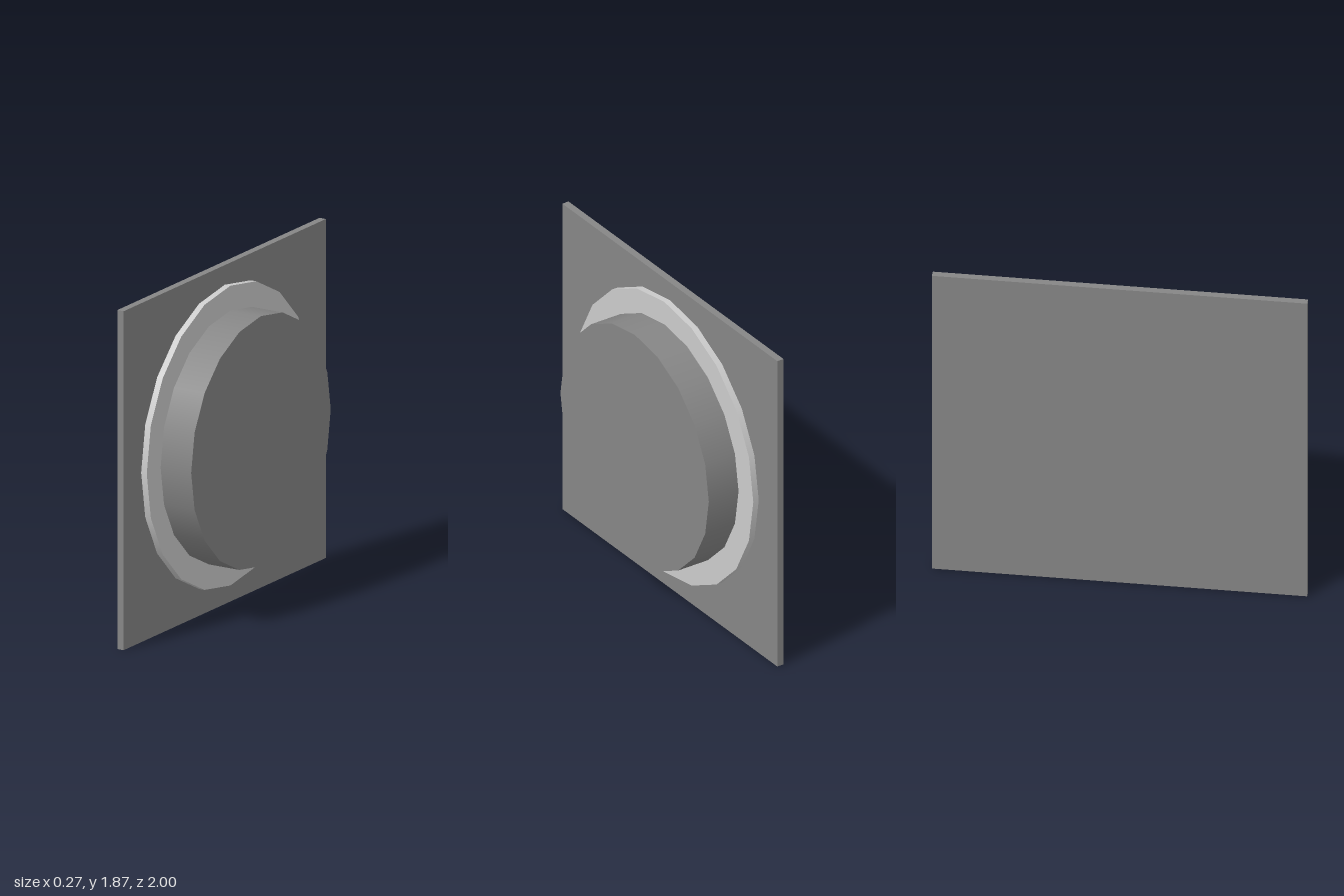
import * as THREE from 'three';

const CENTRE_Y = 0.935;

export function createModel() {
  const group = new THREE.Group();
  const dark = new THREE.MeshStandardMaterial({ color: 0x868686 });
  const light = new THREE.MeshStandardMaterial({ color: 0xcccccc });

  const add = (name, geometry, material, x) => {
    const mesh = new THREE.Mesh(geometry, material);
    mesh.name = name;
    mesh.position.set(x, CENTRE_Y, 0);
    group.add(mesh);
  };

  // 20-sided disc with its axis along x, spanning x0 to x1
  const addDisc = (name, radius, x0, x1, material) => {
    const geometry = new THREE.CylinderGeometry(radius, radius, x1 - x0, 20);
    geometry.rotateZ(-Math.PI / 2);
    add(name, geometry, material, (x0 + x1) / 2);
  };

  // Upright back plate
  add('backPlate', new THREE.BoxGeometry(0.04, 2 * CENTRE_Y, 2), dark, -0.113);

  // Thin pale flange, then the raised drum
  addDisc('flange', 0.827, -0.093, -0.058, light);
  addDisc('drum', 0.69, -0.058, 0.133, dark);

  return group;
}
